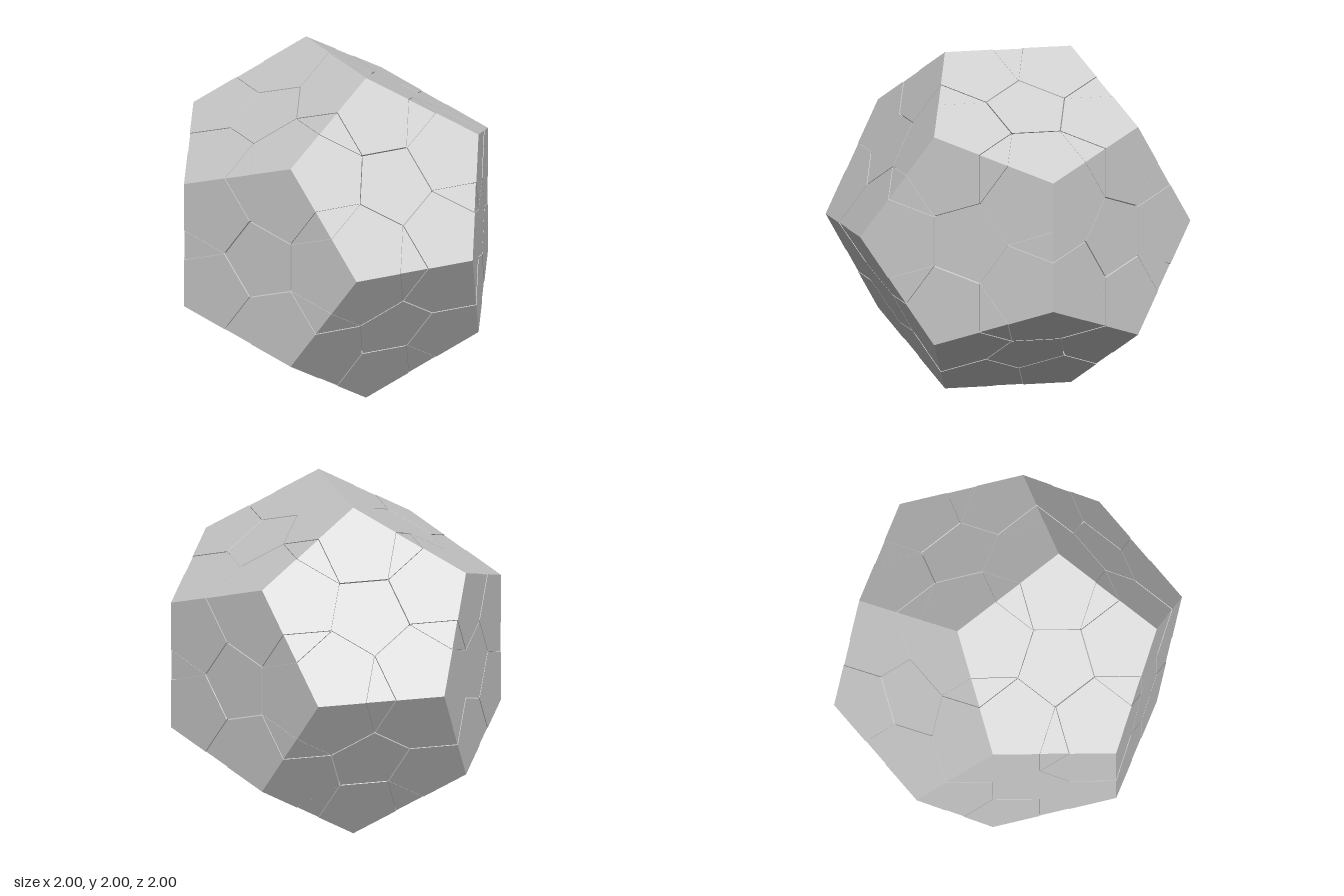
import * as THREE from 'three';

const G = (Math.sqrt(5) - 1) / 2; // 0.618
const H = G * G;                  // 0.382

// even permutations of a triple with both signs
function cyclic(a, b, c) {
  const out = [];
  for (const s of [1, -1]) for (const t of [1, -1]) {
    const p = [a, b * s, c * t];
    for (let k = 0; k < 3; k++) out.push(new THREE.Vector3(p[k], p[(k + 1) % 3], p[(k + 2) % 3]));
  }
  return out;
}

function corners() {
  const list = cyclic(0, 1, H);
  for (const x of [-G, G]) for (const y of [-G, G]) for (const z of [-G, G]) list.push(new THREE.Vector3(x, y, z));
  return list;
}

// the five corners of the face with normal n, counter-clockwise from outside
function facePolygon(verts, n) {
  const pts = verts.slice().sort((a, b) => b.dot(n) - a.dot(n)).slice(0, 5);
  const c = pts.reduce((s, p) => s.add(p), new THREE.Vector3()).divideScalar(5);
  const u = pts[0].clone().sub(c).normalize();
  const w = n.clone().cross(u);
  const angle = (p) => Math.atan2(p.clone().sub(c).dot(w), p.clone().sub(c).dot(u));
  pts.sort((a, b) => angle(a) - angle(b));
  return { pts, c };
}

export function createModel() {
  const group = new THREE.Group();
  const mat = new THREE.MeshStandardMaterial({ color: 0xcccccc, flatShading: true });
  const pieces = new Map();

  // one facet of a piece: shrunk about its apex, with walls on its seam sides
  function addTile(name, apex, poly, seams, inset = 0) {
    const key = name + apex.toArray().map((v) => Math.round(v * 1000)).join();
    if (!pieces.has(key)) pieces.set(key, { name, tris: [] });
    const { tris } = pieces.get(key);
    const shift = apex.clone().normalize().multiplyScalar(-inset);
    const top = poly.map((p) => p.clone().lerp(apex, 0.01).add(shift));
    const low = top.map((p) => p.clone().multiplyScalar(0.95));
    for (let i = 1; i < top.length - 1; i++) tris.push(top[0], top[i], top[i + 1]);
    for (let i = 0; i < seams; i++) {
      const j = (i + 1) % top.length;
      tris.push(top[i], low[i], low[j], top[i], low[j], top[j]);
    }
  }

  const verts = corners();
  for (const n of cyclic(0, G, 1)) {
    const { pts, c } = facePolygon(verts, n.normalize());
    const at = (k) => pts[(k + 5) % 5];
    // inner pentagon, turned against the face
    const tip = (k) => c.clone().lerp(at(k + 3), -H);
    addTile('centrePiece', c, [0, 1, 2, 3, 4].map(tip), 5);
    for (let k = 0; k < 5; k++) {
      const v = at(k), next = at(k + 1), prev = at(k - 1);
      addTile('cornerPiece', v,
        [v.clone().lerp(next, H), tip(k), tip(k + 4), v.clone().lerp(prev, H), v], 3);
      addTile('edgePiece', v.clone().lerp(next, 0.5),
        [v.clone().lerp(next, G), tip(k), v.clone().lerp(next, H)], 2, 0.003);
    }
  }

  for (const { name, tris } of pieces.values()) {
    const geo = new THREE.BufferGeometry().setFromPoints(tris);
    geo.computeVertexNormals();
    const mesh = new THREE.Mesh(geo, mat);
    mesh.name = name;
    mesh.position.y = 1;
    group.add(mesh);
  }

  // inner body that closes the seams
  const core = new THREE.Mesh(new THREE.DodecahedronGeometry(Math.sqrt(3) * G * 0.97), mat);
  core.name = 'core';
  core.rotation.y = Math.PI / 2;
  core.position.y = 1;
  group.add(core);
  return group;
}
